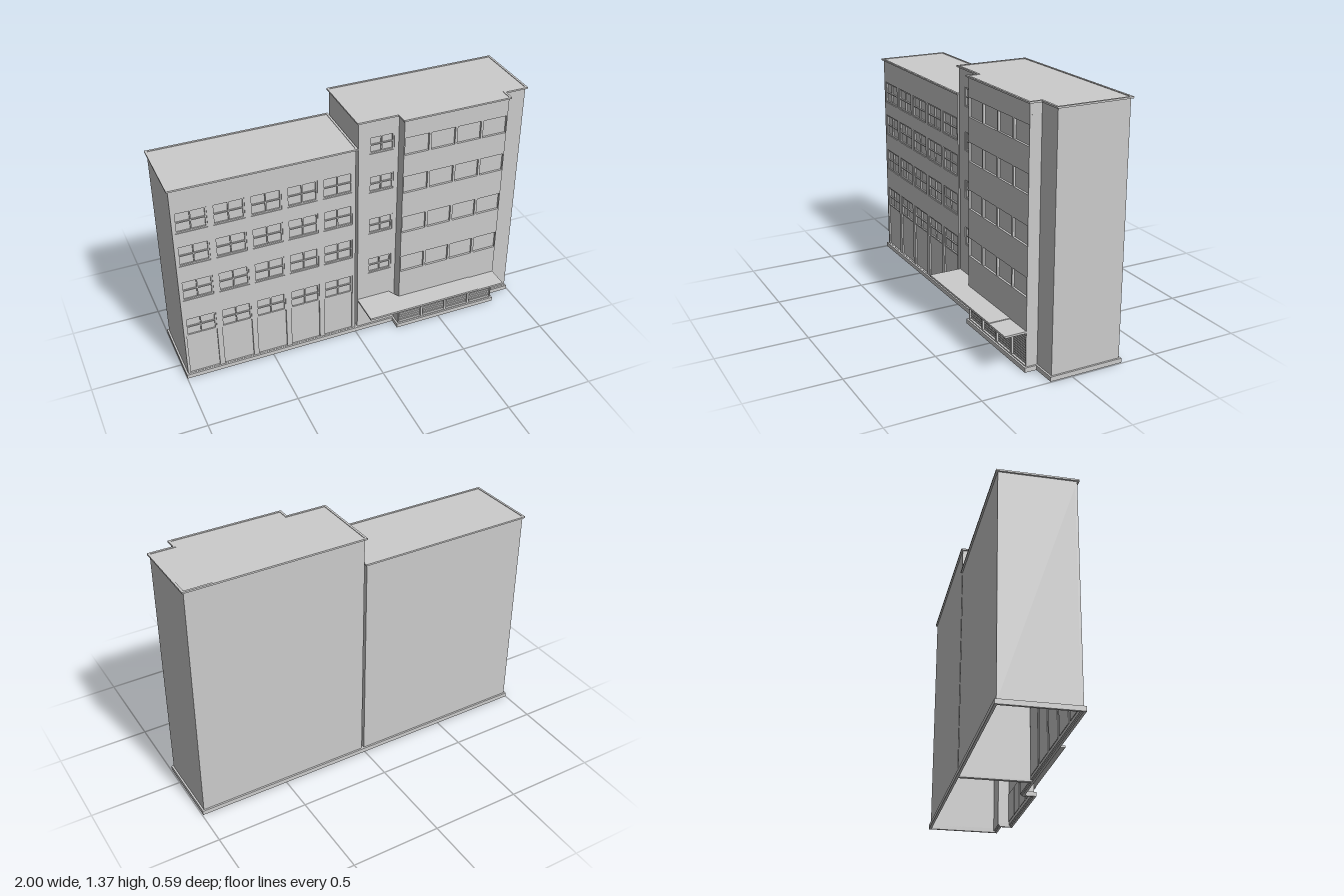
import * as THREE from 'three';

const grey = new THREE.MeshStandardMaterial({ color: 0xcccccc, side: THREE.DoubleSide });
const WALL = 0.012;

function add(group, name, geometry, x = 0, y = 0, z = 0) {
  const mesh = new THREE.Mesh(geometry, grey);
  mesh.name = name;
  mesh.position.set(x, y, z);
  group.add(mesh);
  return mesh;
}

// Box given by its limits on each axis
function block(group, name, x0, x1, y0, y1, z0, z1) {
  return add(group, name, new THREE.BoxGeometry(x1 - x0, y1 - y0, z1 - z0),
    (x0 + x1) / 2, (y0 + y1) / 2, (z0 + z1) / 2);
}

const rectPoints = (x0, x1, y0, y1) =>
  [[x0, y0], [x1, y0], [x1, y1], [x0, y1]].map(([x, y]) => new THREE.Vector2(x, y));

// Upright wall facing +z, its outer face at z, with rectangular openings
function facade(group, name, x0, x1, y0, y1, z, openings = []) {
  const shape = new THREE.Shape(rectPoints(x0, x1, y0, y1));
  for (const o of openings) shape.holes.push(new THREE.Path(rectPoints(...o)));
  add(group, name, new THREE.ExtrudeGeometry(shape, { depth: WALL, bevelEnabled: false }), 0, 0, z - WALL);
}

// Footprint [x, z] pushed outwards by d (right-angled, listed counter-clockwise seen from below)
function offset(points, d) {
  const n = points.length;
  return points.map((p, i) => {
    const a = points[(i + n - 1) % n], b = points[(i + 1) % n];
    const u = [Math.sign(p[0] - a[0]), Math.sign(p[1] - a[1])];
    const v = [Math.sign(b[0] - p[0]), Math.sign(b[1] - p[1])];
    return [p[0] + d * (u[1] + v[1]), p[1] - d * (u[0] + v[0])];
  });
}

// Flat plate or ring following a footprint between two heights
function plate(group, name, points, y0, y1, hole) {
  const vec = list => list.map(([x, z]) => new THREE.Vector2(x, z));
  const shape = new THREE.Shape(vec(points));
  if (hole) shape.holes.push(new THREE.Path(vec(hole)));
  const geometry = new THREE.ExtrudeGeometry(shape, { depth: y1 - y0, bevelEnabled: false });
  geometry.rotateX(Math.PI / 2);
  add(group, name, geometry, 0, y1, 0);
}

// Roof, cornice and plinth shared by both blocks
function shell(group, footprint, height) {
  plate(group, 'roof', offset(footprint, -0.001), height - 0.008, height - 0.003);
  plate(group, 'cornice', offset(footprint, 0.01), height - 0.009, height, offset(footprint, -0.002));
  plate(group, 'plinth', offset(footprint, 0.01), 0, 0.025, offset(footprint, -0.004));
}

// Recessed glass with a border and a cross of glazing bars
function crossWindow(group, x0, x1, y0, y1, z) {
  const back = z - WALL, front = z - 0.004, t = 0.008;
  const cx = (x0 + x1) / 2, cy = (y0 + y1) / 2;
  block(group, 'windowPane', x0, x1, y0, y1, back - 0.003, back);
  block(group, 'windowSideLeft', x0, x0 + t, y0, y1, back, front);
  block(group, 'windowSideRight', x1 - t, x1, y0, y1, back, front);
  block(group, 'windowSill', x0 + t, x1 - t, y0, y0 + t, back, front);
  block(group, 'windowHead', x0 + t, x1 - t, y1 - t, y1, back, front);
  block(group, 'verticalBar', cx - 0.003, cx + 0.003, y0 + t, y1 - t, back, front);
  block(group, 'horizontalBar', x0 + t, x1 - t, cy - 0.003, cy + 0.003, back, front);
}

function lowBlock() {
  const group = new THREE.Group();
  group.name = 'lowBlock';
  const x0 = -0.99, x1 = 0, zb = -0.285, zf = 0.11, h = 1.22;
  shell(group, [[x0, zb], [x1, zb], [x1, zf], [x0, zf]], h);
  const openings = [];
  for (let i = 0; i < 5; i++) {
    const a = -0.975 + i * 0.1975, b = a + 0.168;
    for (const y of [0.955, 0.75, 0.527]) {
      openings.push([a, b, y, y + 0.125]);
      crossWindow(group, a, b, y, y + 0.125, zf);
    }
    // Tall ground-floor bay: window above a plain panel
    openings.push([a, b, 0.027, 0.405]);
    crossWindow(group, a, b, 0.285, 0.405, zf);
    block(group, 'groundPanel', a, b, 0.027, 0.285, zf - WALL - 0.003, zf - WALL + 0.003);
  }
  facade(group, 'frontWall', x0, x1, 0.01, h - 0.006, zf, openings);
  block(group, 'backWall', x0, x1, 0.01, h - 0.006, zb, zb + 0.004);
  block(group, 'rightWall', x0, x0 + 0.004, 0.01, h - 0.006, zb, zf);
  block(group, 'leftWall', x1 - 0.004, x1, 0.01, h - 0.006, zb, zf);
  return group;
}

function tallBlock() {
  const group = new THREE.Group();
  group.name = 'tallBlock';
  const x0 = 0.015, x1 = 0.985, b0 = 0.243, b1 = 0.85;
  const zb = -0.285, zf = 0.11, zBay = 0.175, h = 1.37, top = h - 0.006;
  shell(group, [[x0, zb], [x1, zb], [x1, zf], [b1, zf], [b1, zBay], [b0, zBay], [b0, zf], [x0, zf]], h);

  // Stair windows beside the bay
  const stair = [1.165, 0.925, 0.658, 0.39].map(y => [0.078, 0.218, y, y + 0.102]);
  for (const o of stair) crossWindow(group, ...o, zf);
  facade(group, 'stairWall', x0, b0, 0.01, top, zf, stair);
  facade(group, 'endWall', b1, x1, 0.01, top, zf);

  // Projecting bay with plain windows and ground-floor shutters
  const openings = [];
  for (let i = 0; i < 4; i++) {
    const a = 0.249 + i * 0.1525, b = a + 0.139;
    for (const y of [1.155, 0.92, 0.662, 0.397]) {
      openings.push([a, b, y, y + 0.103]);
      block(group, 'bayPane', a, b, y, y + 0.103, zBay - WALL - 0.003, zBay - WALL);
    }
    openings.push([a, b, 0.03, 0.2]);
    block(group, 'shutterBack', a, b, 0.03, 0.2, zBay - WALL - 0.003, zBay - WALL);
    for (let k = 0; k < 12; k++) {
      const y = 0.034 + k * 0.0138;
      block(group, 'shutterSlat', a + 0.006, b - 0.006, y, y + 0.008, zBay - WALL, zBay - WALL + 0.004);
    }
  }
  facade(group, 'bayWall', b0, b1, 0.01, top, zBay, openings);
  block(group, 'bayRightSide', b0, b0 + 0.004, 0.01, top, zf - WALL, zBay);
  block(group, 'bayLeftSide', b1 - 0.004, b1, 0.01, top, zf - WALL, zBay);

  block(group, 'backWall', x0, x1, 0.01, top, zb, zb + 0.004);
  block(group, 'rightWall', x0, x0 + 0.004, 0.01, top, zb, zf);
  block(group, 'leftWall', x1 - 0.004, x1, 0.01, top, zb, zf);

  // Canopy wrapping the bay corner, with a slightly lower end section
  plate(group, 'canopy', [[x0, zf], [0.21, zf], [b0, zBay], [0.69, zBay], [0.69, 0.295], [x0, 0.295]], 0.211, 0.222);
  block(group, 'canopyEnd', 0.69, b1, 0.207, 0.218, zBay, 0.295);
  return group;
}

export function createModel() {
  const model = new THREE.Group();
  model.name = 'apartmentBuildings';
  model.add(lowBlock(), tallBlock());
  return model;
}
